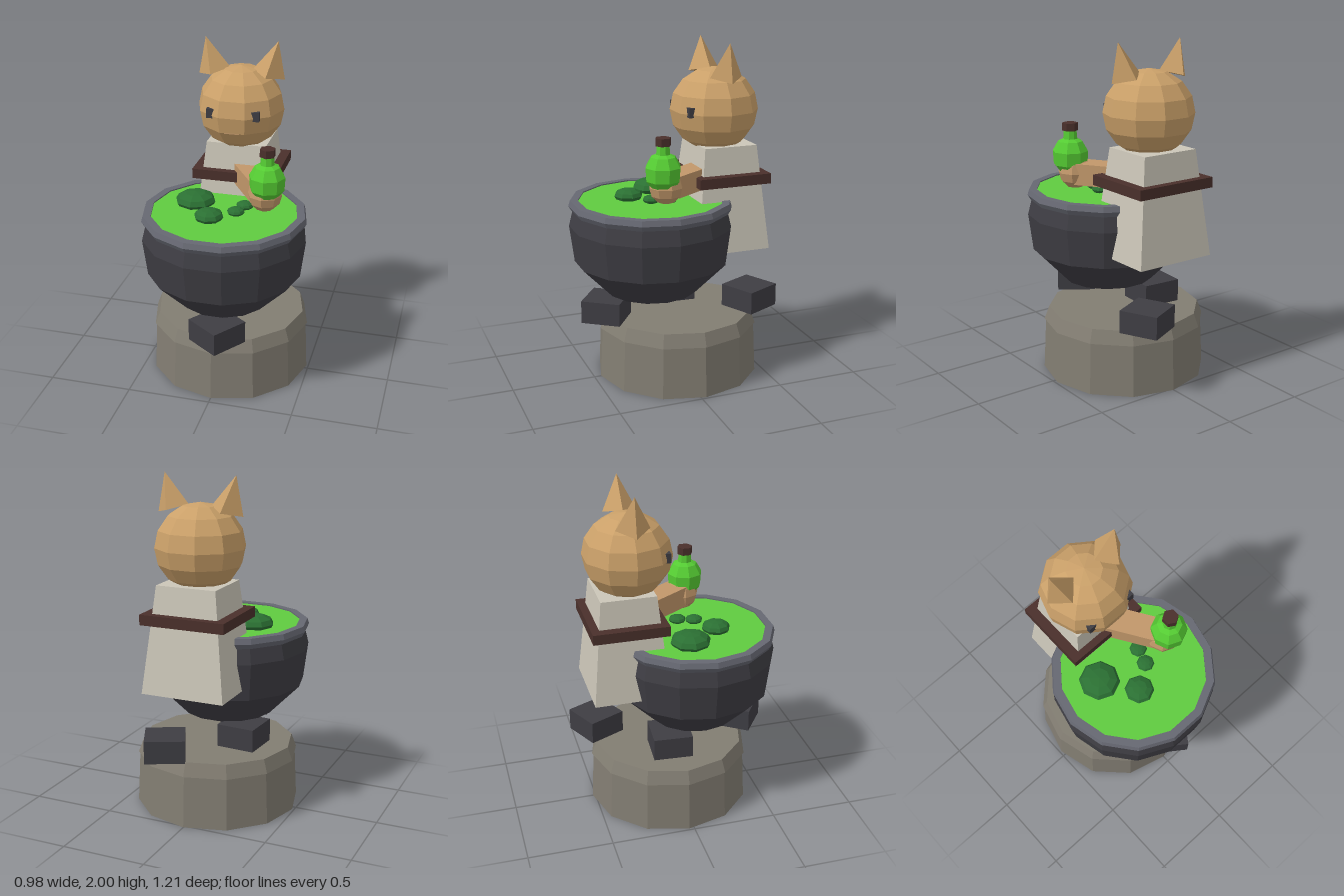
import * as THREE from 'three';

const mat = (name, color) => {
  const m = new THREE.MeshStandardMaterial({ color, flatShading: true });
  m.name = name;
  return m;
};

export function createModel() {
  const stone = mat('stone', 0x827d72);
  const iron = mat('dark iron', 0x3e3d43);
  const steel = mat('rim grey', 0x666872);
  const brew = mat('brew green', 0x5fcb40);
  const glass = mat('bottle green', 0x55cc33);
  const moss = mat('bubble green', 0x2b7033);
  const fur = mat('fur', 0xcaa069);
  const paw = mat('paw tan', 0xc1976a);
  const cloth = mat('robe cloth', 0xcbc6b8);
  const leather = mat('dark leather', 0x4a302b);

  const model = new THREE.Group();
  model.name = 'catBrewer';
  const add = (name, geo, material, x, y, z) => {
    const mesh = new THREE.Mesh(geo, material);
    mesh.name = name;
    mesh.position.set(x, y, z);
    model.add(mesh);
    return mesh;
  };
  const cyl = (rTop, rBottom, h, sides) => new THREE.CylinderGeometry(rTop, rBottom, h, sides);
  const lathe = (pts, sides) =>
    new THREE.LatheGeometry(pts.map(([r, y]) => new THREE.Vector2(r, y)), sides);

  // Stone hearth: drum and bevelled slab
  add('hearthDrum', cyl(0.473, 0.488, 0.31, 12), stone, 0, 0.155, -0.03);
  add('hearthSlab', cyl(0.452, 0.482, 0.08, 12), stone, 0, 0.35, -0.03);

  // Loose coal blocks: x, z, turn
  [[0.033, 0.426, -0.617], [-0.185, -0.067, -0.07], [0.145, -0.45, 0.445]].forEach(([x, z, turn], i) => {
    add('coalBlock' + (i + 1), new THREE.BoxGeometry(0.233, 0.135, 0.233), iron, x, 0.4575, z).rotation.y = turn;
  });

  // Cauldron, rim and brew, all fourteen-sided
  const potZ = 0.13;
  const turned = Math.PI / 2;
  add('cauldron', lathe([[0, 0.53], [0.272, 0.53], [0.457, 0.72], [0.485, 0.94], [0.46, 1.04]], 14),
    iron, 0, 0, potZ).rotation.y = turned;
  add('cauldronRim', lathe([[0.43, 1.03], [0.468, 1.03], [0.486, 1.06], [0.476, 1.092], [0.43, 1.092], [0.43, 1.03]], 14),
    steel, 0, 0, potZ).rotation.y = turned;
  add('brew', cyl(0.432, 0.432, 0.03, 14), brew, 0, 1.07, potZ).rotation.y = turned;

  // Flattened bubbles on the brew: x, z, radius, half height
  [[-0.195, 0.055, 0.12, 0.055], [-0.06, 0.25, 0.086, 0.042],
    [0.075, 0.155, 0.052, 0.025], [0.105, 0.06, 0.052, 0.025]].forEach(([x, z, r, h], i) => {
    const bubble = add('bubble' + (i + 1), new THREE.SphereGeometry(r, 8, 6), moss, x, 1.104, z);
    bubble.scale.y = h / r;
  });

  // Robe: tapered square block with a collar band
  const robe = cyl(0.18 * Math.SQRT2, 0.25 * Math.SQRT2, 0.62, 4);
  robe.rotateY(Math.PI / 4).scale(1, 1, 0.9);
  add('robe', robe, cloth, 0, 1.09, -0.3);
  add('belt', new THREE.BoxGeometry(0.51, 0.06, 0.445), leather, 0, 1.21, -0.302);

  // Head
  const head = new THREE.SphereGeometry(0.26, 10, 8);
  head.scale(1, 0.96, 1);
  add('head', head, fur, 0, 1.597, -0.265);
  add('muzzle', new THREE.BoxGeometry(0.09, 0.03, 0.05), paw, 0, 1.513, -0.061);

  // Eyes and ears, mirrored
  for (const s of [1, -1]) {
    const side = s > 0 ? 'left' : 'right';
    add(side + 'Eye', new THREE.BoxGeometry(0.047, 0.056, 0.04), iron, s * 0.133, 1.609, -0.069);
    const ear = new THREE.ConeGeometry(0.098, 0.205, 4);
    add(side + 'Ear', ear, fur, s * 0.19, 1.903, -0.267).rotation.z = -s * 0.26;
  }

  // Arm reaching forward, with paw
  add('arm', new THREE.BoxGeometry(0.144, 0.125, 0.32), paw, 0.14, 1.217, -0.03).rotation.y = 0.57;
  add('paw', new THREE.SphereGeometry(0.1, 8, 6), paw, 0.238, 1.218, 0.125);

  // Bottle: faceted bulb, neck and stopper
  const bottleX = 0.255, bottleZ = 0.148;
  add('bottle', lathe([[0, 1.195], [0.06, 1.212], [0.1, 1.262], [0.105, 1.34], [0.072, 1.398],
    [0.042, 1.412], [0.037, 1.465], [0, 1.465]], 8), glass, bottleX, 0, bottleZ);
  add('stopper', cyl(0.046, 0.046, 0.045, 6), leather, bottleX, 1.483, bottleZ);

  return model;
}
